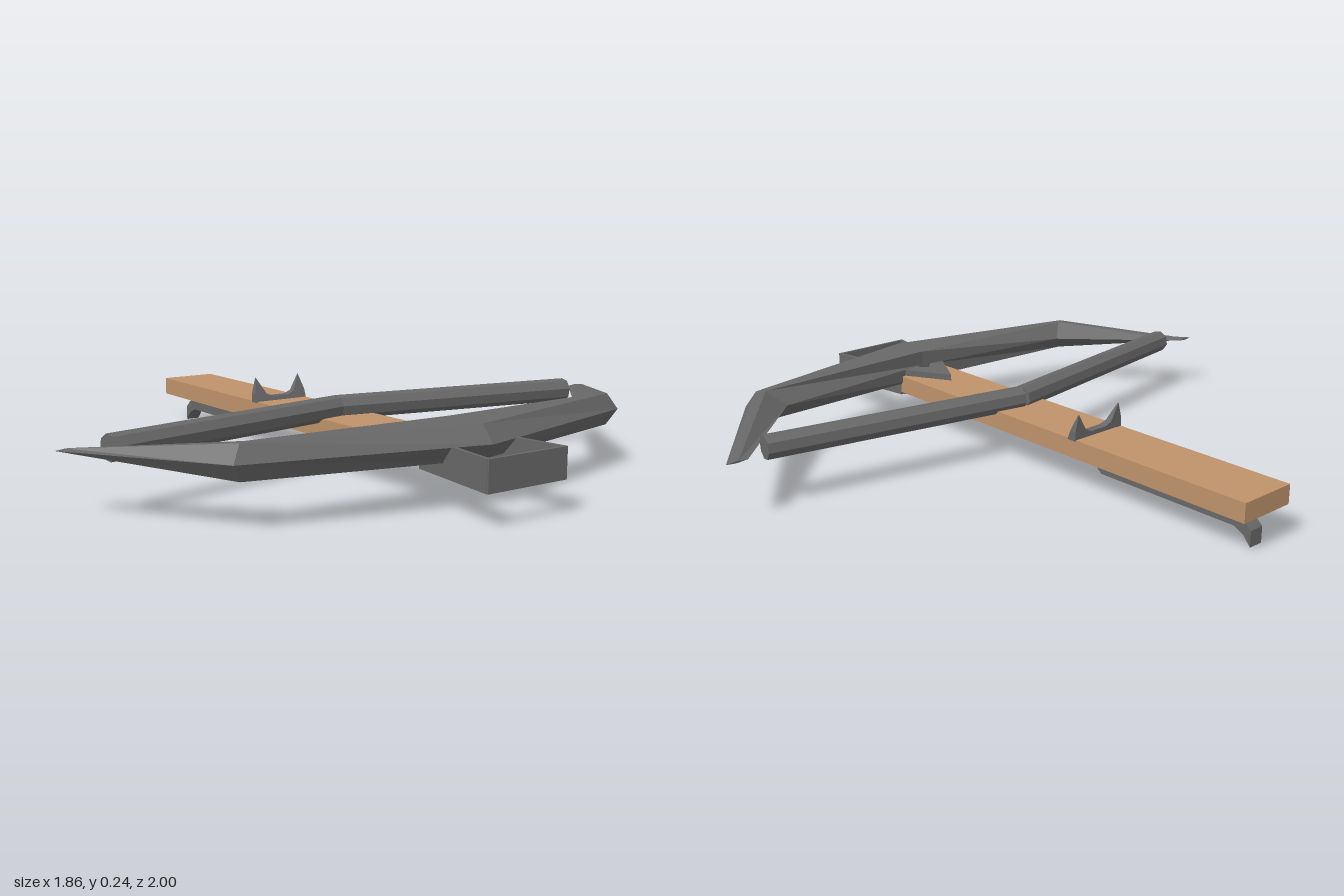
import * as THREE from 'three';

const wood = new THREE.MeshStandardMaterial({ color: 0xbe926a });
wood.name = 'wood';
const steel = new THREE.MeshStandardMaterial({ color: 0x686868, flatShading: true });
steel.name = 'steel';

function part(name, geometry, material = steel) {
  const mesh = new THREE.Mesh(geometry, material);
  mesh.name = name;
  return mesh;
}

function extrude(points, depth) {
  const shape = new THREE.Shape(points.map(([x, y]) => new THREE.Vector2(x, y)));
  return new THREE.ExtrudeGeometry(shape, { depth, bevelEnabled: false });
}

// Six-sided bow limb lofted through five stations, mirrored about z = 0
function bowGeometry() {
  const mid = 0.185;
  // each station: half height, then [x, z] of outer, top outer, top inner, inner
  const half = [
    { h: 0.05, p: [[0.79, 0], [0.745, 0], [0.6, 0], [0.6, 0]] },
    { h: 0.05, p: [[0.61, 0.705], [0.59, 0.675], [0.572, 0.65], [0.53, 0.6]] },
    { h: 0.003, p: [[0.19, 1], [0.19, 0.97], [0.19, 0.96], [0.19, 0.93]] },
  ];
  const ring = ({ h, p: [o, to, ti, n] }, s) => [
    [o, 0], [to, h], [ti, h], [n, 0], [ti, -h], [to, -h],
  ].map(([[x, z], y]) => [x, mid + y, s * z]);
  const rings = [ring(half[2], -1), ring(half[1], -1), ring(half[0], 1), ring(half[1], 1), ring(half[2], 1)];
  const pos = [];
  const tri = (a, b, c) => pos.push(...a, ...b, ...c);
  for (let k = 0; k < rings.length - 1; k++) {
    const a = rings[k], b = rings[k + 1];
    for (let i = 0; i < 6; i++) {
      const j = (i + 1) % 6;
      tri(a[i], a[j], b[j]);
      tri(a[i], b[j], b[i]);
    }
  }
  // end caps
  const first = rings[0], last = rings[4];
  for (let i = 1; i < 5; i++) {
    tri(first[0], first[i + 1], first[i]);
    tri(last[0], last[i], last[i + 1]);
  }
  const g = new THREE.BufferGeometry();
  g.setAttribute('position', new THREE.Float32BufferAttribute(pos, 3));
  g.computeVertexNormals();
  return g;
}

// Eight-sided rod between two points
function rod(name, a, b, radius) {
  const from = new THREE.Vector3(...a), to = new THREE.Vector3(...b);
  const dir = to.clone().sub(from);
  const g = new THREE.CylinderGeometry(radius, radius, dir.length(), 8);
  g.rotateY(Math.PI / 8);
  const mesh = part(name, g);
  mesh.position.copy(from).add(to).multiplyScalar(0.5);
  mesh.quaternion.setFromUnitVectors(new THREE.Vector3(0, 1, 0), dir.normalize());
  return mesh;
}

export function createModel() {
  const model = new THREE.Group();
  model.name = 'crossbow';

  // Stock
  const stock = part('stock', new THREE.BoxGeometry(1.54, 0.06, 0.196), wood);
  stock.position.set(-0.16, 0.134, 0);
  model.add(stock);

  // Bow and its thick string
  model.add(part('bow', bowGeometry()));
  for (const s of [-1, 1]) {
    model.add(rod('bowString', [0.08, 0.186, 0.01], [0.24, 0.186, 0.01 + s * 0.86], 0.039));
  }

  // Trigger lever under the stock
  const trigger = part('trigger', extrude([
    [-0.9, 0], [-0.875, 0.03], [-0.84, 0.047], [-0.33, 0.047], [-0.29, 0.08],
    [-0.28, 0.105], [-0.3, 0.105], [-0.34, 0.086], [-0.83, 0.086], [-0.87, 0.078], [-0.9, 0.05],
  ], 0.05));
  trigger.position.z = -0.025;
  model.add(trigger);

  // Rear sight: two horns, thinning to the back as they rise
  const sightGeometry = extrude([
    [-0.1, 0.16], [0.1, 0.16], [0.1, 0.19], [0.086, 0.243], [0.055, 0.188],
    [0.03, 0.178], [-0.03, 0.178], [-0.055, 0.188], [-0.086, 0.243], [-0.1, 0.19],
  ], 1);
  const p = sightGeometry.attributes.position;
  for (let i = 0; i < p.count; i++) {
    const z = -p.getX(i), y = p.getY(i);
    const thickness = 0.034 * (1 - (y - 0.16) / 0.09);
    p.setXYZ(i, -0.291 + p.getZ(i) * thickness, y, z);
  }
  sightGeometry.computeVertexNormals();
  model.add(part('rearSight', sightGeometry));

  // Notched arrow-shaped mounting plates above and below the stock
  const mount = [[0.435, 0], [0.62, -0.1], [0.62, -0.055], [0.565, 0], [0.62, 0.055], [0.62, 0.1]];
  for (const [name, y, t] of [['upperMount', 0.185, 0.022], ['lowerMount', 0.105, 0.01]]) {
    const g = extrude(mount, t);
    g.rotateX(Math.PI / 2);
    g.translate(0, y, 0);
    model.add(part(name, g));
  }

  // Stirrup: flared side plates and a front plate
  for (const s of [-1, 1]) {
    const side = part('stirrupSide', new THREE.BoxGeometry(0.325, 0.092, 0.012));
    side.position.set(0.76, 0.141, s * 0.116);
    side.rotation.y = -s * Math.atan2(0.045, 0.32);
    model.add(side);
  }
  const front = part('stirrupFront', new THREE.BoxGeometry(0.01, 0.092, 0.286));
  front.position.set(0.92, 0.141, 0);
  model.add(front);

  return model;
}
